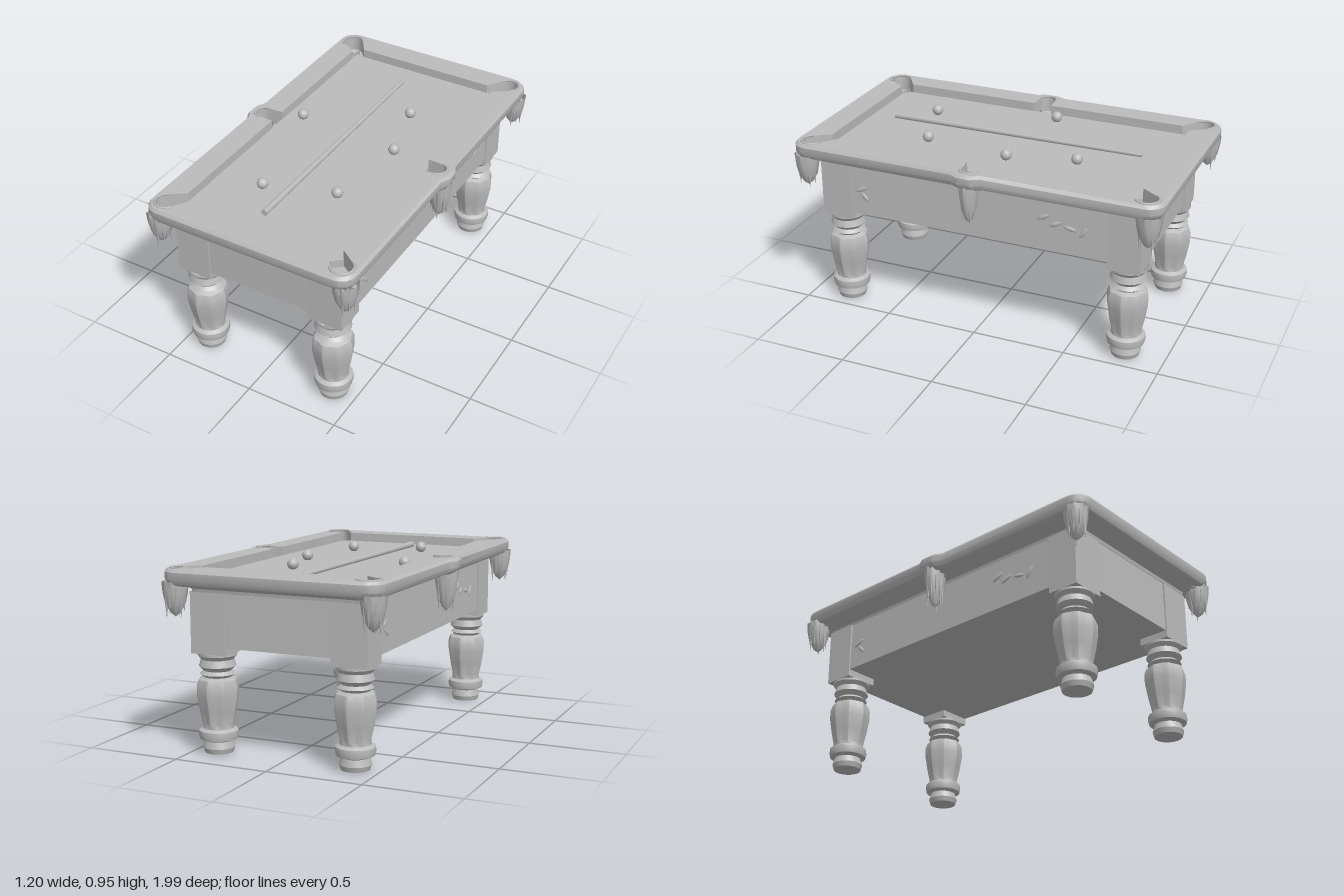
import * as THREE from 'three';
import { toCreasedNormals } from 'three/addons/utils/BufferGeometryUtils.js';

const grey = new THREE.MeshStandardMaterial({ color: 0xbbbbbb, side: THREE.DoubleSide });
grey.name = 'plain grey';

const V = (x, y) => new THREE.Vector2(x, y);

function add(parent, name, geometry, x = 0, y = 0, z = 0) {
  const mesh = new THREE.Mesh(geometry, grey);
  mesh.name = name;
  mesh.position.set(x, y, z);
  parent.add(mesh);
  return mesh;
}

function arc(cx, cz, r, from, to, steps) {
  return Array.from({ length: steps + 1 }, (_, i) => {
    const a = THREE.MathUtils.degToRad(from + (to - from) * i / steps);
    return V(cx + r * Math.cos(a), cz + r * Math.sin(a));
  });
}

// Complete a plan outline from its +x +z quarter, which runs from z = 0 to x = 0
function mirrorQuarter(q) {
  const flip = (p, sx, sz) => p.map(v => V(v.x * sx, v.y * sz));
  const back = [...q].reverse();
  return [...q, ...flip(back.slice(1), -1, 1), ...flip(q.slice(1), -1, -1), ...flip(back.slice(1, -1), 1, -1)];
}

// Skin between plan outlines with equal point counts, each at its own height
function loft(rings) {
  const n = rings[0].points.length, pos = [], index = [];
  rings.forEach(({ points, y }) => points.forEach(p => pos.push(p.x, y, p.y)));
  for (let j = 0; j < rings.length - 1; j++) {
    for (let i = 0; i < n; i++) {
      const a = j * n + i, b = j * n + (i + 1) % n;
      index.push(a, a + n, b, b, a + n, b + n);
    }
  }
  const g = new THREE.BufferGeometry();
  g.setAttribute('position', new THREE.Float32BufferAttribute(pos, 3));
  g.setIndex(index);
  return toCreasedNormals(g, 0.6);
}

function flat(points, hole) {
  const shape = new THREE.Shape(points);
  if (hole) shape.holes.push(new THREE.Path(hole));
  return new THREE.ShapeGeometry(shape).rotateX(-Math.PI / 2);
}

// Outer rail outline with rounded corners and a swelling at each side pocket
function railOutline(inset) {
  const hx = 0.578 - inset, hz = 0.995 - inset, r = Math.max(0.085 - inset * 0.6, 0.01);
  const bulge = 0.024 * Math.max(0, 1 - inset / 0.1);
  return mirrorQuarter([V(hx + bulge, 0), V(hx + bulge, 0.035), V(hx, 0.08),
    ...arc(hx - r, hz - r, r, 0, 90, 4), V(0, hz)]);
}

// Inner outline following the cushions and the six pockets
function pocketOutline() {
  return mirrorQuarter([...arc(0.52, 0, 0.045, 0, 90, 5), V(0.44, 0.05), V(0.44, 0.8),
    ...arc(0.493, 0.903, 0.055, -60, 150, 9), V(0.39, 0.848), V(0, 0.848)]);
}

// Turned leg: plain rings with a fluted barrel between them
function legGeometry() {
  const profile = [[0, 0], [0.072, 0.004], [0.08, 0.03], [0.07, 0.065], [0.095, 0.075], [0.1, 0.095],
    [0.098, 0.118], [0.078, 0.13], [0.08, 0.15], [0.095, 0.22], [0.108, 0.3], [0.108, 0.35], [0.098, 0.378],
    [0.07, 0.39], [0.088, 0.405], [0.07, 0.422], [0.093, 0.445], [0.082, 0.48], [0.098, 0.5], [0.098, 0.515]];
  const g = new THREE.LatheGeometry(profile.map(p => V(...p)), 32);
  const p = g.attributes.position;
  for (let i = 0; i < p.count; i++) {
    const y = p.getY(i);
    if (y < 0.14 || y > 0.38) continue;
    const k = 1 - 0.06 * (1 - Math.cos(8 * Math.atan2(p.getZ(i), p.getX(i)))) / 2 * 1.5;
    p.setX(i, p.getX(i) * k);
    p.setZ(i, p.getZ(i) * k);
  }
  return toCreasedNormals(g, 0.5);
}

// Pocket net: ribbed pouch with a ring of hanging tassels
function pocketNet(bottom) {
  const net = new THREE.Group();
  net.name = 'pocketNet';
  const top = 0.875, h = top - bottom;
  const pouch = new THREE.LatheGeometry([V(0, bottom + 0.01), V(0.022, bottom + 0.03), V(0.045, bottom + h * 0.4),
    V(0.056, bottom + h * 0.7), V(0.06, top)], 20);
  const p = pouch.attributes.position;
  for (let i = 0; i < p.count; i++) {
    const k = 1 + 0.1 * Math.cos(10 * Math.atan2(p.getZ(i), p.getX(i)));
    p.setX(i, p.getX(i) * k);
    p.setZ(i, p.getZ(i) * k);
  }
  pouch.computeVertexNormals();
  add(net, 'pouch', pouch);
  for (let i = 0; i < 9; i++) {
    const a = i / 9 * Math.PI * 2, len = h * (0.5 + 0.16 * (i % 3));
    const tassel = new THREE.ConeGeometry(0.016, len, 5).rotateX(Math.PI);
    add(net, 'tassel', tassel, 0.043 * Math.cos(a), bottom + h * 0.72 - len / 2 + 0.02, 0.043 * Math.sin(a));
  }
  return net;
}

export function createModel() {
  const table = new THREE.Group();
  table.name = 'billiardTable';

  // Rail: moulded outside, flat top and pocket-shaped inner wall
  const rail = new THREE.Group();
  rail.name = 'rail';
  table.add(rail);
  const hole = pocketOutline();
  const profile = [[0.115, 0.82], [0.112, 0.836], [0.1, 0.842], [0.03, 0.856], [0.012, 0.866], [0, 0.89], [0, 0.925], [0.012, 0.94]];
  add(rail, 'railMoulding', loft(profile.map(([inset, y]) => ({ points: railOutline(inset), y }))));
  add(rail, 'railTop', flat(railOutline(0.012), hole), 0, 0.94, 0);
  add(rail, 'cushionWall', loft([{ points: hole, y: 0.94 }, { points: hole, y: 0.85 }]));
  add(rail, 'pocketFloor', flat(hole), 0, 0.85, 0);

  // Playing surface with corners cut away for the pockets
  const cloth = mirrorQuarter([V(0.443, 0), V(0.443, 0.81), V(0.4, 0.85), V(0, 0.85)]);
  add(table, 'cloth', flat(cloth), 0, 0.892, 0);
  add(table, 'clothEdge', loft([{ points: cloth, y: 0.85 }, { points: cloth, y: 0.892 }]));

  // Cabinet, slightly wider at the bottom
  const box = new THREE.BoxGeometry(0.92, 0.28, 1.73);
  const p = box.attributes.position;
  for (let i = 0; i < p.count; i++) {
    if (p.getY(i) > 0) continue;
    p.setX(i, Math.sign(p.getX(i)) * 0.466);
    p.setZ(i, Math.sign(p.getZ(i)) * 0.87);
  }
  box.computeVertexNormals();
  add(table, 'cabinet', box, 0, 0.69, 0);

  const legShape = legGeometry();
  for (const sx of [-1, 1]) {
    for (const sz of [-1, 1]) {
      // Corner post, leg and corner pocket
      add(table, 'cornerPost', new THREE.BoxGeometry(0.188, 0.31, 0.168), sx * 0.379, 0.667, sz * 0.793);
      add(table, 'leg', legShape, sx * 0.375, 0, sz * 0.79);
      const net = pocketNet(0.69);
      net.position.set(sx * 0.525, 0, sz * 0.925);
      table.add(net);
      const rim = add(table, 'pocketRim', new THREE.TorusGeometry(0.058, 0.007, 6, 16, Math.PI * 1.15)
        .rotateZ(-Math.PI * 0.575).rotateX(-Math.PI / 2), sx * 0.493, 0.94, sz * 0.903);
      rim.rotation.y = -Math.atan2(sz, sx);
    }
    // Side pocket
    const net = pocketNet(0.65);
    net.position.set(sx * 0.535, 0, 0);
    net.scale.z = 0.75;
    table.add(net);
    const rim = add(table, 'pocketRim', new THREE.TorusGeometry(0.048, 0.007, 6, 16, Math.PI)
      .rotateZ(-Math.PI / 2).rotateX(-Math.PI / 2), sx * 0.52, 0.94, 0);
    rim.rotation.y = sx > 0 ? 0 : Math.PI;

    // Small leaf carvings on the long sides
    for (const [z, y, turn] of [[0.65, 0.69, 0.5], [0.63, 0.65, -0.8], [-0.37, 0.73, 0.5], [-0.43, 0.7, 0.4], [-0.51, 0.69, -0.2], [-0.58, 0.68, 1]]) {
      const leaf = add(table, 'leafCarving', new THREE.SphereGeometry(1, 8, 6), sx * 0.463, y, sx * z);
      leaf.scale.set(0.006, 0.012, 0.035);
      leaf.rotation.x = turn * sx;
    }
  }

  // Cue, thicker at the front end
  add(table, 'cue', new THREE.CylinderGeometry(0.017, 0.011, 1.41, 10).rotateX(Math.PI / 2), -0.057, 0.907, 0.005);

  // Balls
  for (const [x, z] of [[-0.35, -0.12], [0.14, -0.42], [0.23, -0.07], [0.17, 0.4], [-0.19, 0.52]]) {
    add(table, 'ball', new THREE.SphereGeometry(0.03, 12, 8), x, 0.918, z);
  }
  return table;
}
